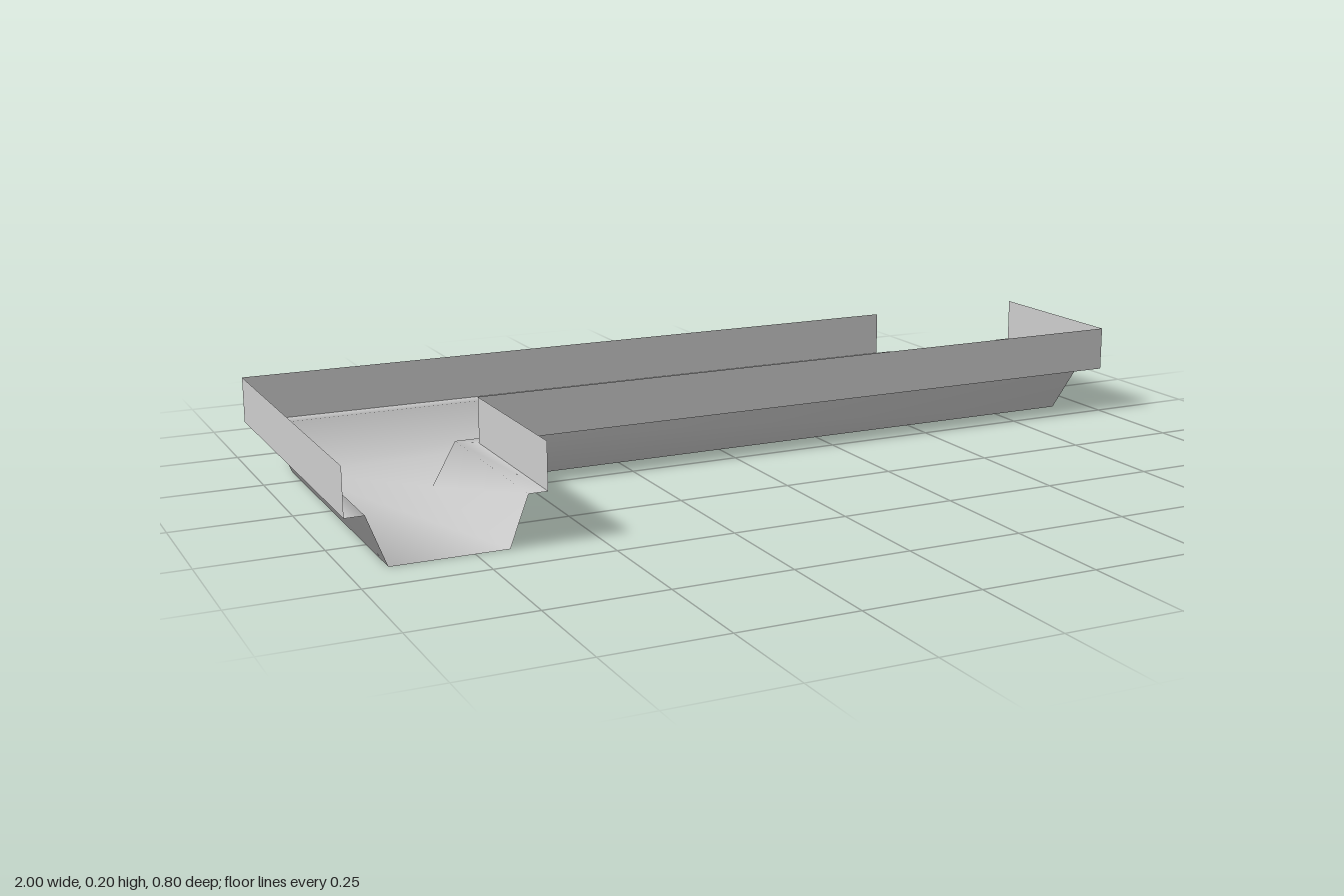
import * as THREE from 'three';

// Mitred path of the gutter: centre (x, z) and the sideways direction (x, z) at each station
const stations = [
  { c: [-0.8, 0.4], s: [1, 0] },
  { c: [-0.8, -0.2], s: [1, 1] },
  { c: [0.8, -0.2], s: [1, 1] },
  { c: [0.8, -0.4], s: [1, 0] },
];

// Sweeps an open profile of [offset, y] points along the stations
function sweep(profile, path, smooth) {
  const pos = [], index = [], n = profile.length;
  for (const { c, s } of path)
    for (const [o, y] of profile) pos.push(c[0] + o * s[0], y, c[1] + o * s[1]);
  for (let i = 0; i < path.length - 1; i++)
    for (let j = 0; j < n - 1; j++) {
      const a = i * n + j, b = a + 1, c = a + n, d = c + 1;
      index.push(a, b, c, b, d, c);
    }
  let geo = new THREE.BufferGeometry();
  geo.setAttribute('position', new THREE.Float32BufferAttribute(pos, 3));
  geo.setIndex(index);
  if (!smooth) geo = geo.toNonIndexed();
  geo.computeVertexNormals();
  return geo;
}

export function createModel() {
  const group = new THREE.Group();
  group.name = 'gutter';
  const material = new THREE.MeshStandardMaterial({ color: 0xcccccc, side: THREE.DoubleSide });
  const add = (name, geometry) => {
    const mesh = new THREE.Mesh(geometry, material);
    mesh.name = name;
    group.add(mesh);
  };

  // Trough: ledge, sloping side, flat floor, sloping side, ledge
  const trough = [[-0.2, 0.105], [-0.16, 0.105], [-0.12, 0], [0.12, 0], [0.16, 0.105], [0.2, 0.105]];
  add('trough', sweep(trough, stations, true));

  // Upright rims; the outer one ends where it meets the open end
  add('outerRim', sweep([[-0.2, 0.205], [-0.2, 0.105]], stations.slice(0, 3), false));
  add('innerRim', sweep([[0.2, 0.105], [0.2, 0.205]], stations, false));
  return group;
}
